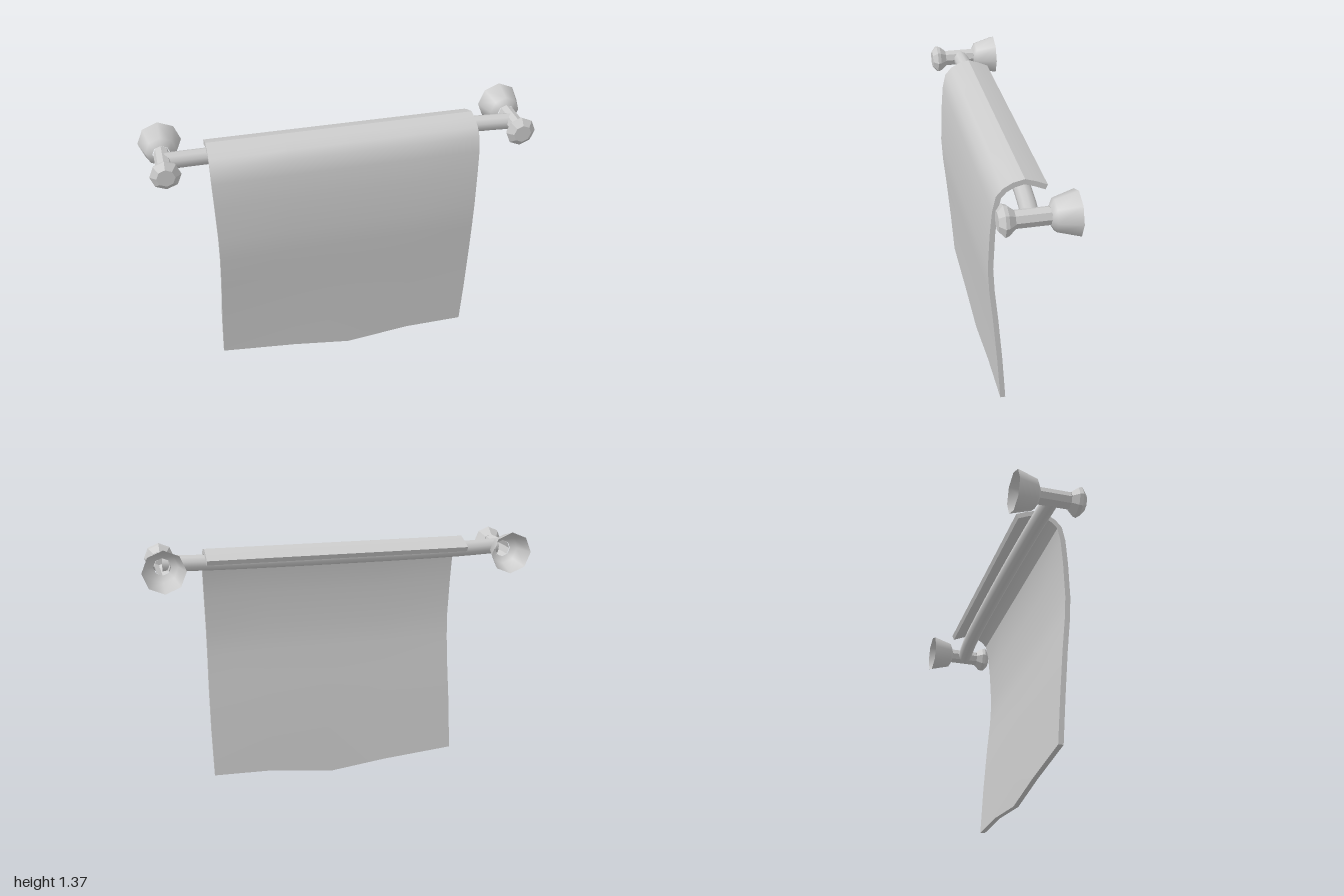
import * as THREE from 'three';
import { toCreasedNormals } from 'three/addons/utils/BufferGeometryUtils.js';

const V2 = (p) => new THREE.Vector2(p[0], p[1]);

// Eight-sided turned part along z, from [radius, z] pairs.
function turned(name, pairs, material) {
  const geometry = new THREE.LatheGeometry(pairs.map(V2), 8).rotateX(Math.PI / 2);
  const mesh = new THREE.Mesh(geometry, material);
  mesh.name = name;
  return mesh;
}

// Towel: a thick cross-section in z and y, swept over columns along x.
function towelGeometry() {
  const outer = [
    [-0.1, 1.29], [-0.05, 1.312], [0.005, 1.33], [0.06, 1.318], [0.105, 1.293],
    [0.138, 1.255], [0.155, 1.18], [0.166, 1.05], [0.174, 0.86], [0.167, 0.73],
    [0.15, 0.56], [0.128, 0.28], [0.11, 0],
  ].map(V2);
  const thick = 0.026;
  const inner = outer.map((p, i) => {
    const a = outer[Math.max(i - 1, 0)], b = outer[Math.min(i + 1, outer.length - 1)];
    const d = b.clone().sub(a).normalize();
    return new THREE.Vector2(p.x + d.y * thick, p.y - d.x * thick);
  });
  inner[inner.length - 1].y = 0;
  const loop = [...outer, ...inner.reverse()];
  const n = loop.length;

  // Hem height for each column; side edges waver a little lower down.
  const columns = [[-0.681, 0.08], [-0.3, 0.045], [0.01, 0.005], [0.35, 0.045], [0.678, 0.05]];
  const wave = (y) => (y > 1.15 ? 0 : 0.009 * Math.sin((1.15 - y) * 4.2));
  const positions = [], indices = [];
  columns.forEach(([x, hem], c) => {
    for (const p of loop) {
      const y = p.y < 0.6 ? hem + p.y * (0.6 - hem) / 0.6 : p.y;
      let px = x;
      if (c === 0) px += wave(p.y);
      if (c === 4) px -= wave(p.y) + 0.024 * Math.max(0, 1 - p.y / 0.6);
      positions.push(px, y, p.x);
    }
  });
  for (let c = 0; c < columns.length - 1; c++) {
    for (let i = 0; i < n; i++) {
      const j = (i + 1) % n, a = c * n, b = a + n;
      indices.push(a + i, a + j, b + i, b + i, a + j, b + j);
    }
  }
  // Side edges
  const last = (columns.length - 1) * n;
  for (let i = 0; i < outer.length - 1; i++) {
    const k = n - 1 - i;
    indices.push(i, k, i + 1, i + 1, k, k - 1);
    indices.push(last + i, last + i + 1, last + k, last + i + 1, last + k - 1, last + k);
  }
  const geometry = new THREE.BufferGeometry();
  geometry.setAttribute('position', new THREE.Float32BufferAttribute(positions, 3));
  geometry.setIndex(indices);
  return toCreasedNormals(geometry, 0.5);
}

export function createModel() {
  const model = new THREE.Group();
  model.name = 'towelRail';
  const smooth = new THREE.MeshStandardMaterial({ color: 0xcccccc, side: THREE.DoubleSide });
  const faceted = new THREE.MeshStandardMaterial({ color: 0xcccccc, side: THREE.DoubleSide, flatShading: true });

  // Wall brackets: hollow flared base, stem and end knob
  for (const [name, side] of [['leftBracket', 1], ['rightBracket', -1]]) {
    const bracket = new THREE.Group();
    bracket.name = name;
    bracket.add(
      turned('wallFlare', [[0.108, -0.178], [0.077, -0.073], [0.044, -0.055]], smooth),
      turned('stem', [[0.044, -0.055], [0.044, 0.103]], faceted),
      turned('knob', [[0.044, 0.103], [0.071, 0.135], [0.076, 0.152], [0.045, 0.178], [0, 0.178]], faceted),
    );
    bracket.children[1].scale.x = 0.9;
    bracket.position.set(side * 0.892, 1.264, 0);
    model.add(bracket);
  }

  // Slightly bowed rail between the stems
  const path = new THREE.CatmullRomCurve3([
    [-0.885, 1.264, 0.018], [-0.68, 1.259, 0.008], [0, 1.257, 0], [0.68, 1.259, 0.01], [0.885, 1.262, 0.03],
  ].map((p) => new THREE.Vector3(...p)));
  const rail = new THREE.Mesh(new THREE.TubeGeometry(path, 16, 0.041, 10), smooth);
  rail.name = 'rail';
  model.add(rail);

  // Towel draped over the rail
  const towel = new THREE.Mesh(towelGeometry(), smooth);
  towel.name = 'towel';
  model.add(towel);
  return model;
}
